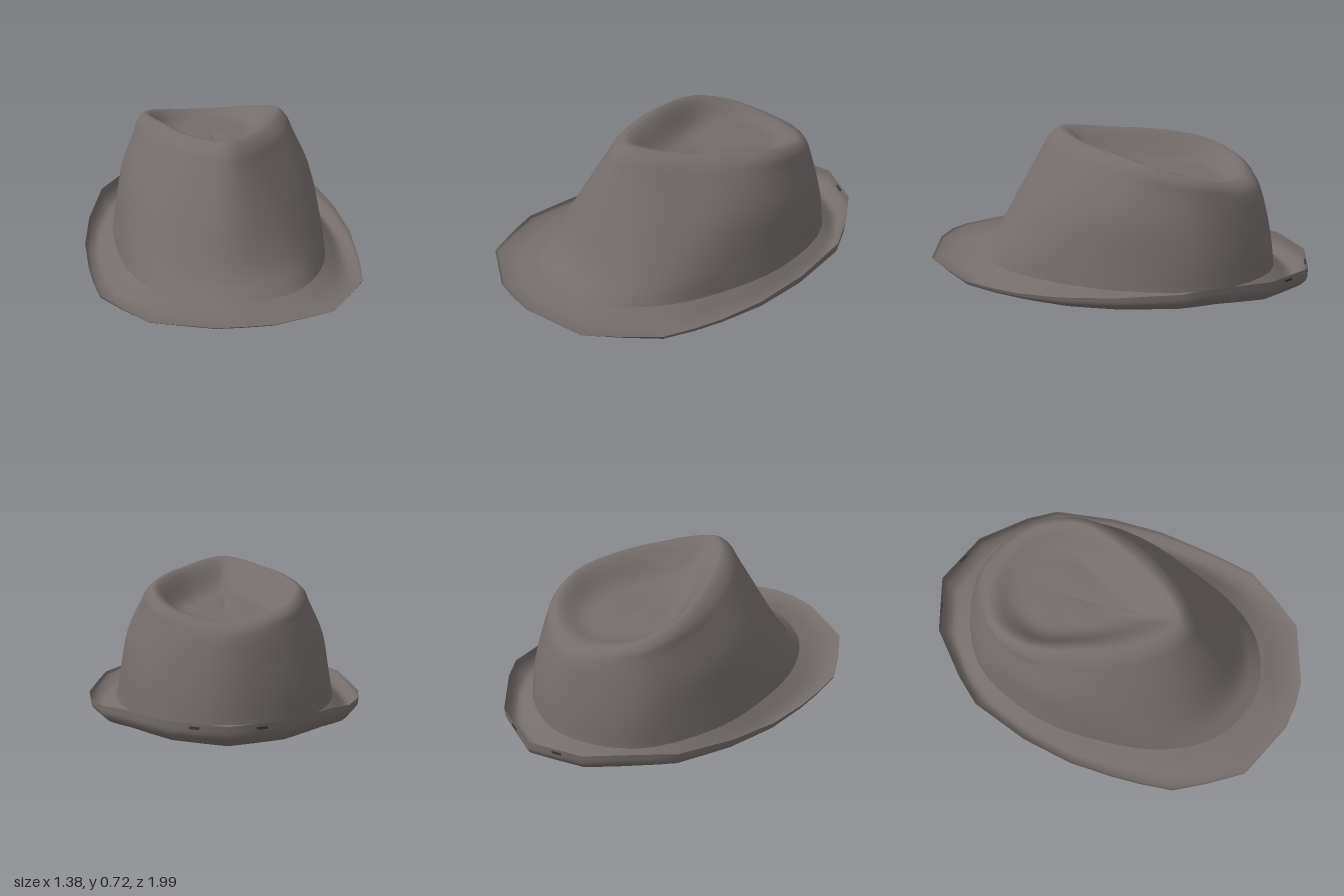
import * as THREE from 'three';

const V = (p) => new THREE.Vector3(p[0], p[1], p[2]);
const HALF = 24, COLS = HALF * 2, STEPS = 4;

// Half outlines run from the front (z+) round the left side to the back.
const brimEdge = [[0, .09, .99], [.13, .085, .98], [.43, .07, .86], [.55, .062, .69], [.64, .055, .54],
  [.665, .05, .38], [.68, .05, .23], [.69, .065, 0], [.66, .09, -.27], [.58, .125, -.57],
  [.48, .14, -.7], [.28, .135, -.9], [0, .13, -1]];
const gutterY = [.072, .068, .058, .04, .02, .012, .008, .008, .018, .035, .045, .03, .022];

const crownRings = [
  // foot of the crown
  [[0, .1, .78], [.28, .085, .68], [.45, .08, .45], [.525, .075, .15], [.53, .08, -.25], [.36, .085, -.65], [0, .09, -.81]],
  // walls
  [[0, .17, .67], [.26, .18, .58], [.43, .2, .37], [.51, .2, .1], [.505, .22, -.27], [.36, .22, -.63], [0, .22, -.795]],
  [[0, .4, .54], [.2, .4, .46], [.36, .4, .28], [.46, .42, .03], [.475, .4, -.28], [.34, .38, -.6], [0, .38, -.765]],
  [[0, .6, .43], [.14, .6, .36], [.27, .6, .19], [.37, .6, -.03], [.41, .56, -.3], [.31, .52, -.57], [0, .49, -.73]],
  // shoulder and ridge of the crown
  [[0, .69, .375], [.12, .68, .31], [.24, .665, .15], [.33, .655, -.05], [.385, .62, -.32], [.29, .56, -.57], [0, .525, -.69]],
  [[0, .725, .31], [.09, .715, .25], [.19, .695, .1], [.27, .685, -.07], [.34, .65, -.33], [.25, .585, -.55], [0, .54, -.64]],
  // teardrop dent
  [[0, .62, .15], [.03, .6, .1], [.1, .575, -.02], [.17, .56, -.14], [.23, .55, -.32], [.16, .535, -.48], [0, .525, -.55]],
];

// Mirror a half outline into a full closed one.
function mirrored(half) {
  const other = half.slice(1, -1).reverse().map(([x, y, z]) => [-x, y, z]);
  return [...half, ...other].map(V);
}

// Smooth closed ring, or a straight-sided one for the faceted brim.
function sampleRing(half, smooth) {
  const pts = mirrored(half), out = [];
  const curve = new THREE.CatmullRomCurve3(pts, true);
  for (let i = 0; i < COLS; i++) {
    const f = (i / COLS) * pts.length, k = Math.floor(f);
    out.push(smooth ? curve.getPoint(i / COLS)
      : pts[k].clone().lerp(pts[(k + 1) % pts.length], f - k));
  }
  return out;
}

// Skin a list of rings, rounding the profile between them.
function skin(rings) {
  const rows = (rings.length - 1) * STEPS, pos = [], index = [];
  const profiles = [];
  for (let i = 0; i < COLS; i++) profiles.push(new THREE.CatmullRomCurve3(rings.map((r) => r[i])));
  for (let j = 0; j <= rows; j++) {
    for (let i = 0; i < COLS; i++) pos.push(...profiles[i].getPoint(j / rows).toArray());
  }
  for (let j = 0; j < rows; j++) {
    for (let i = 0; i < COLS; i++) {
      const a = j * COLS + i, b = j * COLS + (i + 1) % COLS;
      index.push(a, b, a + COLS, b, b + COLS, a + COLS);
    }
  }
  const g = new THREE.BufferGeometry();
  g.setAttribute('position', new THREE.Float32BufferAttribute(pos, 3));
  g.setIndex(index);
  g.computeVertexNormals();
  return g;
}

export function createModel() {
  const felt = new THREE.MeshStandardMaterial({ color: 0x746d6b, side: THREE.DoubleSide });
  felt.name = 'grey felt';
  const dark = new THREE.MeshStandardMaterial({ color: 0x3a3635 });
  dark.name = 'dark slot';

  const hat = new THREE.Group();
  hat.name = 'hat';

  // Brim: edge, curled lip and gutter, then into the crown
  const edge = sampleRing(brimEdge, false);
  const gutter = sampleRing(brimEdge.map(([x, , z], i) => [x, gutterY[i], z]), false);
  const crown = crownRings.map((r) => sampleRing(r, true));
  const foot = crown[0];
  const between = (t, drop) => edge.map((e, i) => {
    const p = e.clone().lerp(foot[i], t);
    p.y = THREE.MathUtils.lerp(e.y, gutter[i].y, drop);
    return p;
  });

  // Floor of the dent closes on a single point
  const centre = new THREE.Vector3(0, .54, -.33);
  const dent = crown[crown.length - 1];
  const floor = dent.map((p) => {
    const q = p.clone().lerp(centre, .55);
    q.y = Math.min(q.y, .55);
    return q;
  });
  const tip = dent.map(() => centre.clone());

  const brim = new THREE.Mesh(skin([edge, between(.05, .55), between(.42, 1), foot]), felt);
  brim.name = 'brim';
  const dome = new THREE.Mesh(skin([...crown, floor, tip]), felt);
  dome.name = 'crown';
  hat.add(brim, dome);

  // Small slots in the back of the brim
  for (const s of [-1, 1]) {
    const slot = new THREE.Mesh(new THREE.BoxGeometry(.05, .012, .008), dark);
    slot.name = s > 0 ? 'leftSlot' : 'rightSlot';
    slot.position.set(s * .15, .112, -.944);
    slot.rotation.y = -s * Math.atan2(.1, .28);
    hat.add(slot);
  }
  return hat;
}
